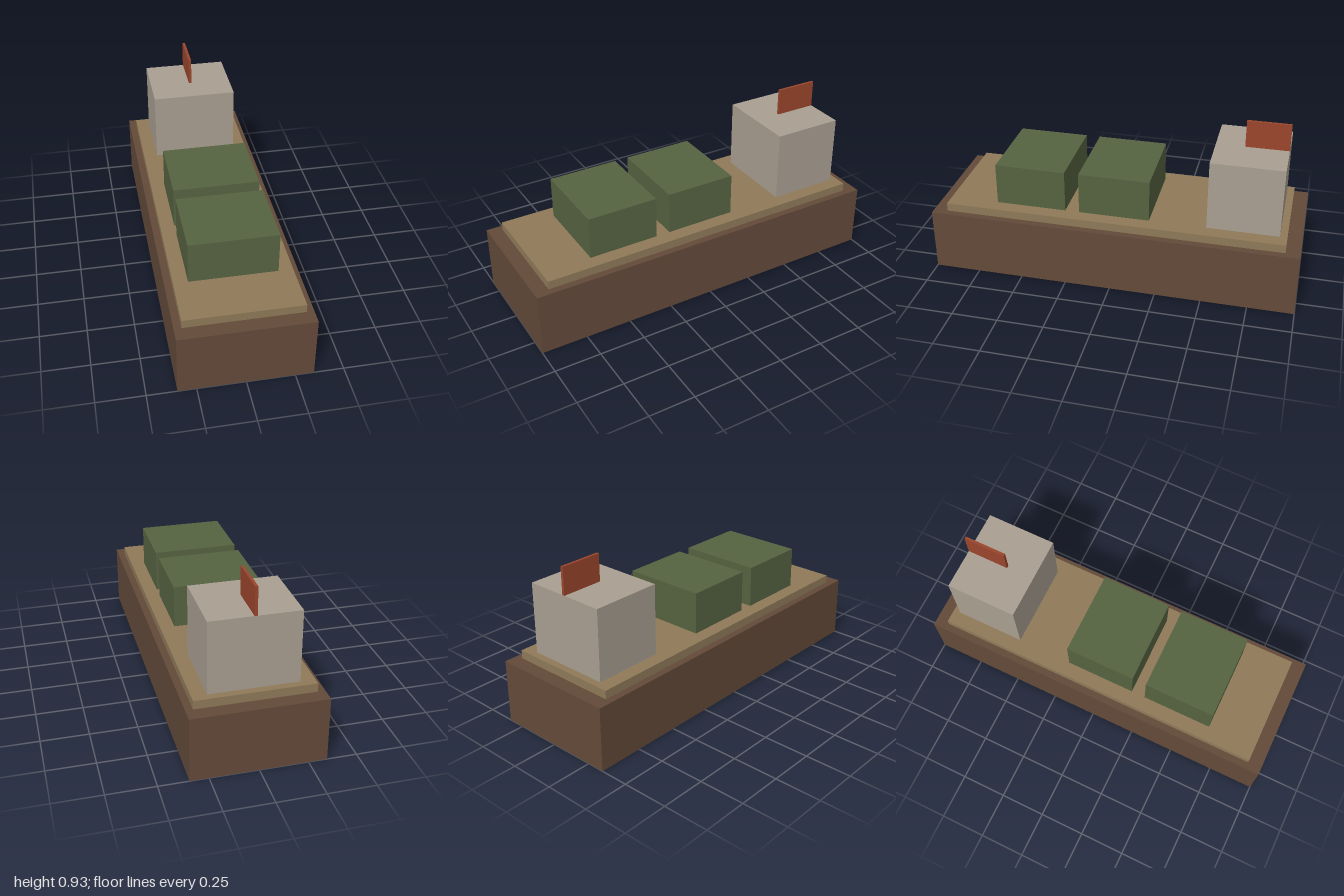
import * as THREE from 'three';

const material = (name, color) => {
  const m = new THREE.MeshStandardMaterial({ color });
  m.name = name;
  return m;
};

export function createModel() {
  const group = new THREE.Group();
  group.name = 'cargoBarge';

  const hullBrown = material('hullBrown', 0x634a3a);
  const deckTan = material('deckTan', 0x8f7a59);
  const cargoGreen = material('cargoGreen', 0x566341);
  const cabinGrey = material('cabinGrey', 0xa99f91);
  const flagRed = material('flagRed', 0x9a452c);

  // Box of given width and depth, spanning y0..y1, centred at z
  const block = (name, mat, width, y0, y1, depth, z = 0) => {
    const mesh = new THREE.Mesh(new THREE.BoxGeometry(width, y1 - y0, depth), mat);
    mesh.name = name;
    mesh.position.set(0, (y0 + y1) / 2, z);
    group.add(mesh);
  };

  const hullTop = 0.347, deckTop = 0.393, cabinTop = 0.777;

  // Hull and raised deck
  block('hull', hullBrown, 0.692, 0, hullTop, 2);
  block('deck', deckTan, 0.615, hullTop, deckTop, 1.846);

  // Cargo crates, front and middle
  [['frontCargo', 0.462], ['middleCargo', 0]].forEach(([name, z]) =>
    block(name, cargoGreen, 0.462, deckTop, 0.623, 0.385, z));

  // Cabin at the stern with its flag
  block('cabin', cabinGrey, 0.462, deckTop, cabinTop, 0.385, -0.692);
  block('flag', flagRed, 0.015, cabinTop, 0.925, 0.231, -0.769);

  return group;
}
